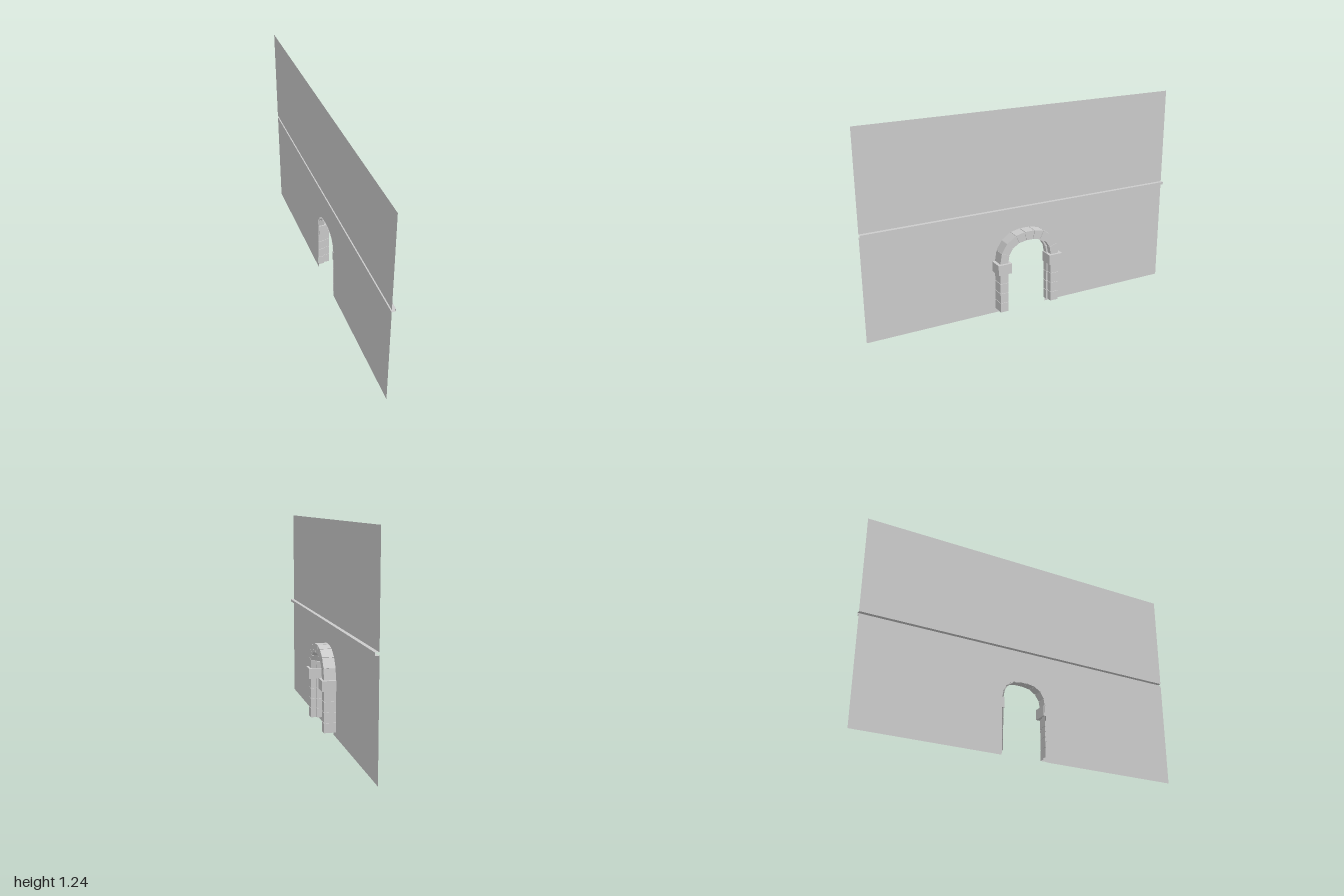
import * as THREE from 'three';

const WALL_X = -0.0425;
const material = new THREE.MeshStandardMaterial({ color: 0xcccccc, flatShading: true, side: THREE.DoubleSide });

function addMesh(group, name, geometry) {
  const mesh = new THREE.Mesh(geometry, material);
  mesh.name = name;
  group.add(mesh);
  return mesh;
}

// Joints of one half of the arch, bottom to crown: outer z, y and inner z, y
const halfJoints = [
  [0.196, 0.027, 0.134, 0.027],
  [0.196, 0.088, 0.134, 0.088],
  [0.196, 0.15, 0.134, 0.15],
  [0.196, 0.213, 0.134, 0.213],
  [0.196, 0.277, 0.134, 0.277],
  [0.196, 0.337, 0.134, 0.337],
  [0.185, 0.405, 0.126, 0.382],
  [0.15, 0.46, 0.104, 0.418],
  [0.093, 0.5, 0.066, 0.442],
  [0.031, 0.513, 0.022, 0.449],
];
const joints = [
  ...halfJoints,
  ...halfJoints.slice().reverse().map(([a, b, c, d]) => [-a, b, -c, d]),
];

// Stone section: depth x and fraction from outer (0) to inner (1), with a rebate
const section = [[WALL_X, 0], [0.028, 0], [0.028, 0.84], [-0.008, 0.84], [-0.008, 1], [WALL_X, 1]];

function ring(joint, inset) {
  const [zo, yo, zi, yi] = joint;
  return section.map(([x, t]) => {
    const k = THREE.MathUtils.lerp(t, 0.5, inset * 0.12);
    const depth = x === WALL_X ? x : x - inset * 0.004;
    return [depth, THREE.MathUtils.lerp(yo, yi, k), THREE.MathUtils.lerp(zo, zi, k)];
  });
}

// Sweep of the section through all stones, with a narrow groove at each joint
function stoneGeometry() {
  const mix = (a, b, f) => a.map((v, i) => v + (b[i] - v) * f);
  const rings = [];
  for (let i = 0; i < joints.length - 1; i++) {
    const start = mix(joints[i], joints[i + 1], 0.025);
    const end = mix(joints[i], joints[i + 1], 0.975);
    if (i > 0) rings.push(ring(start, 1));
    rings.push(ring(start, 0), ring(end, 0));
    if (i < joints.length - 2) rings.push(ring(end, 1));
  }
  const positions = [];
  for (let i = 0; i < rings.length - 1; i++) {
    for (let j = 0; j < section.length - 1; j++) {
      const a = rings[i][j], b = rings[i][j + 1], c = rings[i + 1][j + 1], d = rings[i + 1][j];
      positions.push(...a, ...d, ...c, ...a, ...c, ...b);
    }
  }
  const geometry = new THREE.BufferGeometry();
  geometry.setAttribute('position', new THREE.Float32BufferAttribute(positions, 3));
  geometry.computeVertexNormals();
  return geometry;
}

// Flat panel drawn in (z, y), facing the +x side
function panelGeometry(points) {
  const shape = new THREE.Shape(points.map(([z, y]) => new THREE.Vector2(-z, y)));
  return new THREE.ShapeGeometry(shape).rotateY(Math.PI / 2).translate(WALL_X, 0, 0);
}

export function createModel() {
  const group = new THREE.Group();
  group.name = 'archedWall';

  // Lower wall with the doorway cut a little wider than the stones' inner edge
  const opening = joints.map(([zo, yo, zi, yi]) => [zi + (zo - zi) * 0.12, yi + (yo - yi) * 0.12]);
  addMesh(group, 'lowerWall', panelGeometry([
    [1, 0], [opening[0][0], 0], ...opening, [-opening[0][0], 0],
    [-1, 0], [-1, 0.637], [1, 0.637],
  ]));
  addMesh(group, 'upperWall', panelGeometry([[1, 0.653], [-1, 0.653], [-1, 1.24], [1, 1.24]]));

  // Hollow ledge between the panels, open at the back and ends
  const ledge = new THREE.Group();
  ledge.name = 'ledge';
  const depth = 0.0225;
  for (const [name, y, turn] of [['ledgeTop', 0.653, -1], ['ledgeBottom', 0.637, 1]]) {
    addMesh(ledge, name, new THREE.PlaneGeometry(depth, 2).rotateX(turn * Math.PI / 2)
      .translate(WALL_X + depth / 2, y, 0));
  }
  addMesh(ledge, 'ledgeFront', new THREE.PlaneGeometry(2, 0.016).rotateY(Math.PI / 2)
    .translate(WALL_X + depth, 0.645, 0));
  group.add(ledge);

  // Stone surround
  addMesh(group, 'archStones', stoneGeometry());

  // Impost blocks where the arch springs
  for (const [name, side] of [['frontImpost', 1], ['backImpost', -1]]) {
    addMesh(group, name, new THREE.BoxGeometry(0.084, 0.062, 0.088)).position.set(0.0005, 0.307, side * 0.17);
  }
  return group;
}
